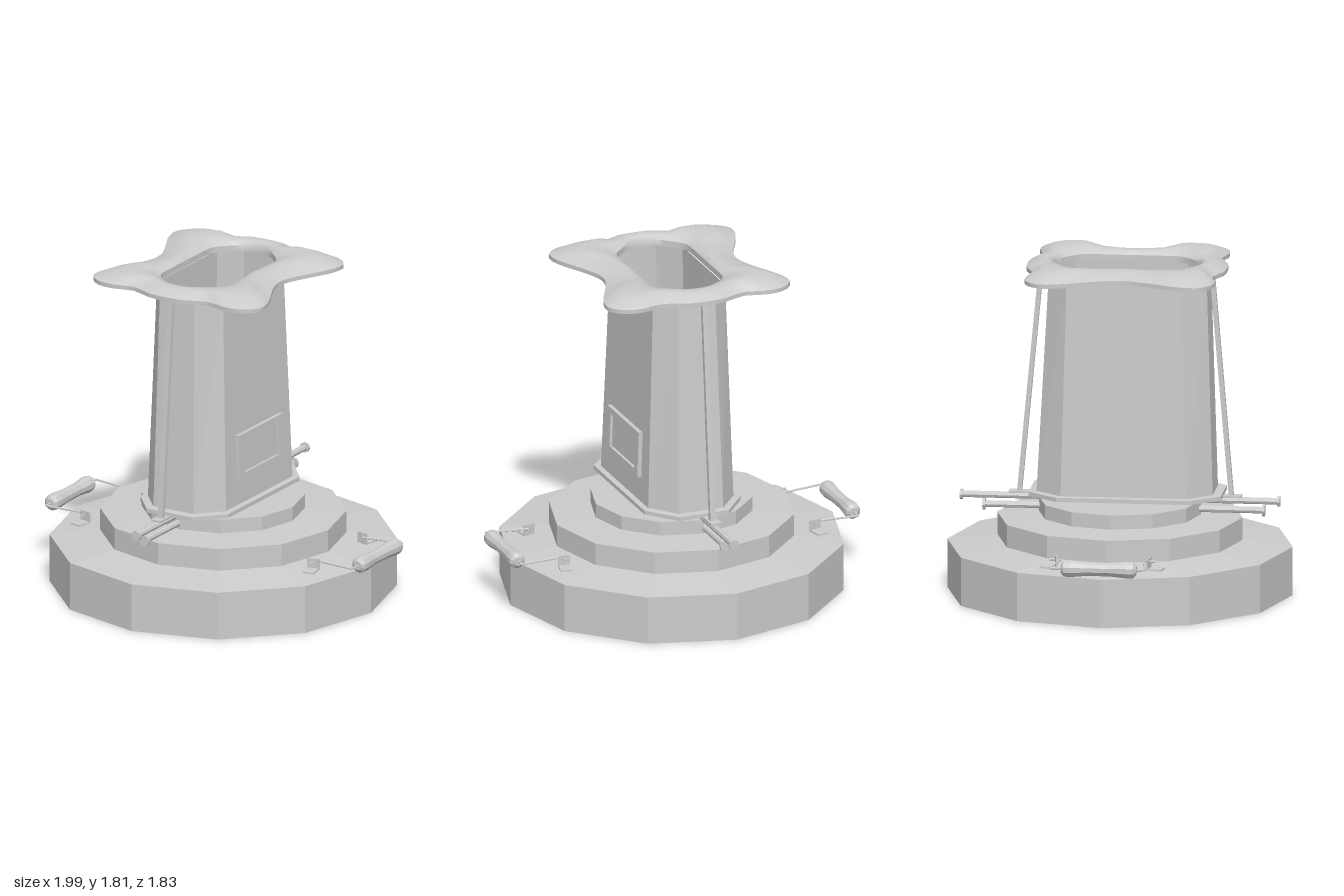
import * as THREE from 'three';
import { toCreasedNormals } from 'three/addons/utils/BufferGeometryUtils.js';

const flat = new THREE.MeshStandardMaterial({ color: 0xcccccc, flatShading: true, side: THREE.DoubleSide });
const smooth = new THREE.MeshStandardMaterial({ color: 0xcccccc, side: THREE.DoubleSide });

function add(parent, name, geometry, material = flat) {
  const mesh = new THREE.Mesh(geometry, material);
  mesh.name = name;
  parent.add(mesh);
  return mesh;
}

const lathe = (pts, sides) => new THREE.LatheGeometry(pts.map(p => new THREE.Vector2(...p)), sides);

// Skin a list of closed rings of [x, y, z] points
function loft(rings) {
  const n = rings[0].length, index = [];
  for (let i = 0; i < rings.length - 1; i++) {
    for (let j = 0; j < n; j++) {
      const a = i * n + j, b = i * n + (j + 1) % n;
      index.push(a, b, b + n, a, b + n, a + n);
    }
  }
  const g = new THREE.BufferGeometry();
  g.setAttribute('position', new THREE.Float32BufferAttribute(rings.flat(2), 3));
  g.setIndex(index);
  g.computeVertexNormals();
  return g;
}

// Chamfered rectangle: outer extents and the extents of the flat sides
function octagon(y, x0, x1, z0, z1, fx0, fx1, fz0, fz1) {
  return [[fx0, z1], [fx1, z1], [x1, fz1], [x1, fz0], [fx1, z0], [fx0, z0], [x0, fz0], [x0, fz1]]
    .map(([x, z]) => [x, y, z]);
}

// Mirror a quarter outline (from +z round to +x) into a full loop
function fullLoop(q) {
  const half = [...q, ...q.slice(0, -1).reverse().map(([x, z]) => [x, -z])];
  return [...half, ...half.slice(1, -1).reverse().map(([x, z]) => [-x, z])];
}

// Smooth a closed loop, keeping its points in step with other loops
function refine(loop, n) {
  const curve = new THREE.CatmullRomCurve3(loop.map(([x, z]) => new THREE.Vector3(x, 0, z)), true);
  return Array.from({ length: n }, (_, i) => curve.getPoint(i / n));
}

// Lobed rim around the mouth of the tower
function rimGeometry() {
  const outer = refine(fullLoop([[0, 0.53], [0.11, 0.52], [0.23, 0.475], [0.34, 0.5], [0.44, 0.49],
    [0.515, 0.42], [0.505, 0.32], [0.45, 0.2], [0.395, 0.08], [0.38, 0]]), 72);
  const inner = refine(fullLoop([[0, 0.39], [0.05, 0.385], [0.1, 0.36], [0.14, 0.325], [0.175, 0.29],
    [0.2, 0.25], [0.205, 0.19], [0.205, 0.12], [0.205, 0.05], [0.205, 0]]), 72);
  // [blend towards hole, height, extra height on the lobes]
  const rows = [[0, 1.735, 0], [0, 1.757, 0], [0.25, 1.774, 0.014], [0.5, 1.786, 0.022],
    [0.75, 1.792, 0.008], [0.9, 1.788, 0], [1, 1.768, 0], [1, 1.735, 0], [0, 1.735, 0]];
  return loft(rows.map(([f, y, lift]) => outer.map((o, i) => {
    const p = o.clone().lerp(inner[i], f);
    const lobe = THREE.MathUtils.smoothstep(o.length(), 0.48, 0.62);
    return [p.x - 0.005, y + lift * lobe, p.z + 0.04];
  })));
}

// Tube along straight segments
function wire(points, r) {
  const path = new THREE.CurvePath();
  const v = points.map(p => new THREE.Vector3(...p));
  for (let i = 1; i < v.length; i++) path.add(new THREE.LineCurve3(v[i - 1], v[i]));
  return new THREE.TubeGeometry(path, 24, r, 6);
}

// Grip held by two bent wires in angled brackets
function sideHandle() {
  const g = new THREE.Group();
  const grip = add(g, 'grip', lathe([[0, -0.2], [0.025, -0.2], [0.043, -0.185], [0.045, -0.15], [0.037, -0.06],
    [0.036, 0.06], [0.045, 0.15], [0.043, 0.185], [0.025, 0.2], [0, 0.2]], 10));
  grip.rotation.x = Math.PI / 2;
  grip.position.set(0.953, 0.325, -0.007);
  for (const s of [-1, 1]) {
    add(g, 'handleWire', wire([[0.953, 0.325, s * 0.19], [0.953, 0.325, s * 0.25],
      [0.72, 0.32, s * 0.222], [0.71, 0.32, s * 0.28]], 0.006));
    const bracket = new THREE.Group();
    bracket.name = 'handleBracket';
    add(bracket, 'bracketFoot', new THREE.BoxGeometry(0.065, 0.008, 0.08)).position.set(0, -0.026, s * 0.04);
    add(bracket, 'bracketUpright', new THREE.BoxGeometry(0.065, 0.06, 0.008));
    bracket.position.set(0.71, 0.308, s * 0.245);
    bracket.rotation.y = s * 0.2;
    g.add(bracket);
  }
  return g;
}

export function createModel() {
  const model = new THREE.Group();

  // Hollow stepped base
  add(model, 'steppedBase', lathe([[0.915, 0], [0.915, 0.26], [0.65, 0.292], [0.65, 0.412],
    [0.43, 0.424], [0.43, 0.5], [0, 0.5]], 12));

  // Tapered open tower and its foot flange
  const foot = octagon(0.535, -0.235, 0.25, -0.43, 0.505, -0.12, 0.13, -0.29, 0.375);
  add(model, 'tower', loft([foot, octagon(1.74, -0.2, 0.21, -0.365, 0.47, -0.1, 0.11, -0.26, 0.34)]));
  const flange = y => octagon(y, -0.265, 0.28, -0.47, 0.55, -0.135, 0.145, -0.31, 0.4);
  add(model, 'footFlange', loft([foot, flange(0.53), flange(0.552),
    foot.map(([x, , z]) => [x, 0.555, z])]));

  add(model, 'lobedRim', toCreasedNormals(rimGeometry(), 0.7), smooth);

  // Framed hatch on the left side, leaning with the wall
  const hatch = new THREE.Group();
  hatch.name = 'hatch';
  const frame = new THREE.Shape([[-0.22, -0.125], [0.22, -0.125], [0.22, 0.125], [-0.22, 0.125]]
    .map(p => new THREE.Vector2(...p)));
  frame.holes.push(new THREE.Path([[-0.173, -0.09], [-0.173, 0.09], [0.173, 0.09], [0.173, -0.09]]
    .map(p => new THREE.Vector2(...p))));
  add(hatch, 'hatchFrame', new THREE.ExtrudeGeometry(frame, { depth: 0.025, bevelEnabled: false }));
  add(hatch, 'hatchPanel', new THREE.BoxGeometry(0.35, 0.185, 0.01)).position.z = 0.005;
  hatch.position.set(0.238, 0.815, 0.04);
  hatch.rotation.set(-0.034, Math.PI / 2, 0, 'YXZ');
  model.add(hatch);

  // Sloping stays at front and back, each on a small pad
  for (const [zTop, zFoot] of [[0.49, 0.592], [-0.415, -0.53]]) {
    const dz = zTop - zFoot, dy = 1.21;
    const stay = add(model, 'stay', new THREE.BoxGeometry(0.03, Math.hypot(dy, dz), 0.025));
    stay.position.set(-0.017, 0.53 + dy / 2, (zTop + zFoot) / 2);
    stay.rotation.x = Math.atan2(dz, dy);
    add(model, 'stayPad', new THREE.BoxGeometry(0.06, 0.01, 0.12))
      .position.set(-0.017, 0.53, zFoot + Math.sign(zFoot) * -0.005);
  }

  // Long upper rod and two short lower rods, with end knobs
  const rod = (name, y, z0, z1, r, knobs) => {
    const m = add(model, name, new THREE.CylinderGeometry(r, r, z1 - z0, 8));
    m.rotation.x = Math.PI / 2;
    m.position.set(-0.015, y, (z0 + z1) / 2);
    for (const [z, kr] of knobs) {
      const k = add(model, name + 'Knob', new THREE.CylinderGeometry(kr, kr, 0.014, 8));
      k.rotation.x = Math.PI / 2;
      k.position.set(-0.015, y, z);
    }
  };
  rod('upperRod', 0.507, -0.835, 0.845, 0.018, [[-0.838, 0.028], [0.843, 0.028]]);
  rod('frontLowerRod', 0.457, 0.41, 0.765, 0.018, [[0.763, 0.033]]);
  rod('backLowerRod', 0.457, -0.72, -0.41, 0.018, [[-0.718, 0.033]]);

  // Carrying handles
  const left = sideHandle(), right = sideHandle();
  left.name = 'leftHandle';
  right.name = 'rightHandle';
  right.rotation.y = Math.PI;
  right.position.z = -0.014;
  model.add(left, right);

  return model;
}
